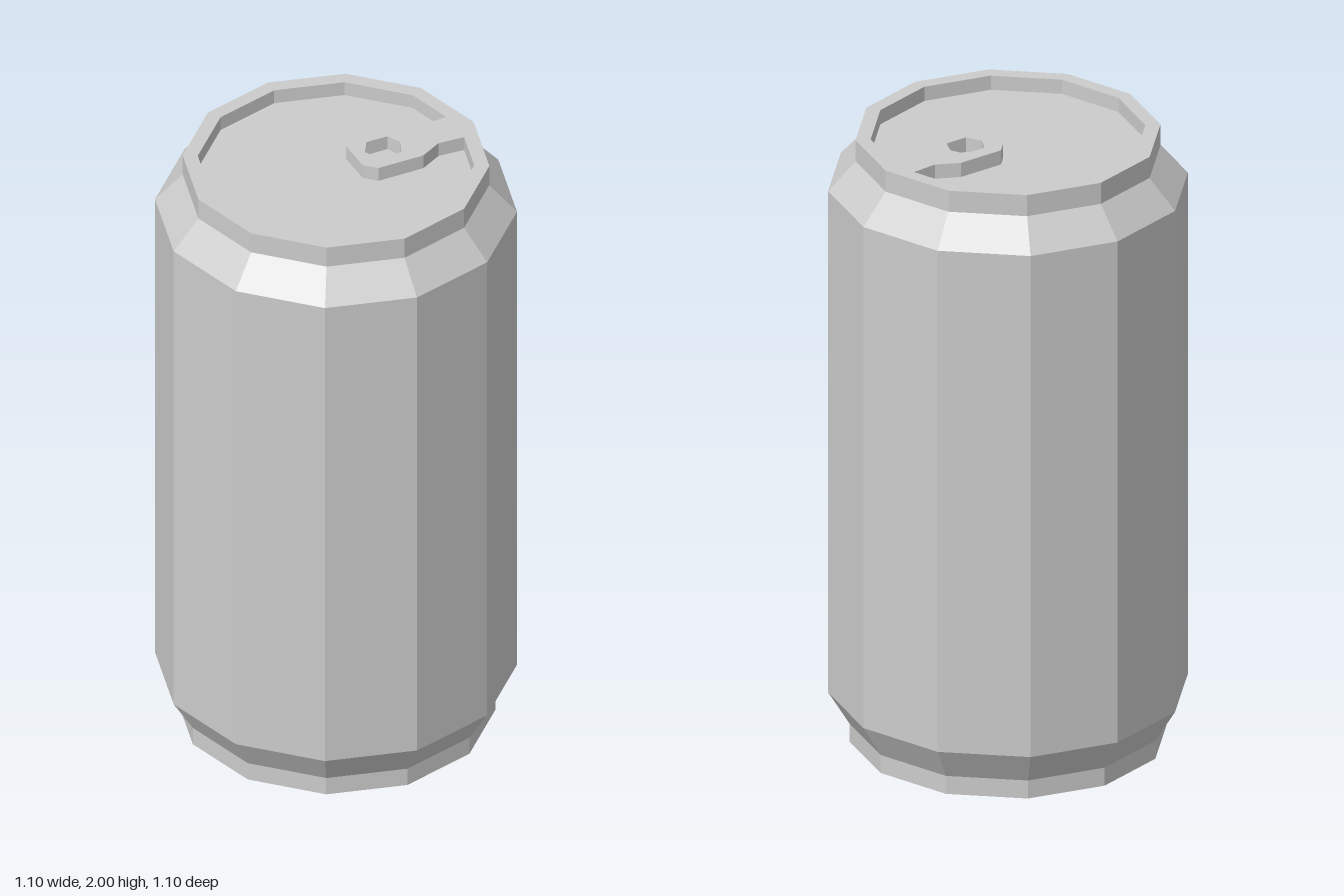
import * as THREE from 'three';

const SIDES = 12;
const TOP = 2, LID = 1.953, RIM_INNER = 0.42;

const material = new THREE.MeshStandardMaterial({ color: 0xcccccc, flatShading: true });

function addPart(group, name, geometry) {
  const flat = geometry.index ? geometry.toNonIndexed() : geometry;
  flat.computeVertexNormals();
  const mesh = new THREE.Mesh(flat, material);
  mesh.name = name;
  group.add(mesh);
  return mesh;
}

const toPoints = (pairs) => pairs.map(([a, b]) => new THREE.Vector2(a, b));

export function createModel() {
  const model = new THREE.Group();
  model.name = 'drinkCan';

  // Can shell: hollow base, foot ring, body, shoulder, rim and sunken lid
  const profile = toPoints([
    [0, 0.1], [0.405, 0.1], [0.405, 0],
    [0.485, 0], [0.485, 0.06],
    [0.55, 0.167], [0.55, 1.835],
    [0.466, 1.93], [0.466, TOP],
    [RIM_INNER, TOP], [RIM_INNER, LID], [0, LID],
  ]);
  addPart(model, 'canBody', new THREE.LatheGeometry(profile, SIDES));

  // Pull tab: rounded end with a narrow neck running into the rim
  const half = [[0.405, 0.061], [0.32, 0.055], [0.25, 0.093], [0.097, 0.093], [0.062, 0.057]];
  const mirrored = half.map(([x, y]) => [x, -y]).reverse();
  const tab = new THREE.Shape(toPoints([[RIM_INNER, 0], ...half, ...mirrored]));

  // Six-sided finger hole
  tab.holes.push(new THREE.Path(toPoints([
    [0.1, 0], [0.125, -0.047], [0.198, -0.047],
    [0.219, 0], [0.198, 0.047], [0.125, 0.047],
  ])));
  const tabGeometry = new THREE.ExtrudeGeometry(tab, { depth: TOP - LID, bevelEnabled: false });
  tabGeometry.rotateX(-Math.PI / 2).translate(0, LID, 0);
  addPart(model, 'pullTab', tabGeometry);

  return model;
}
